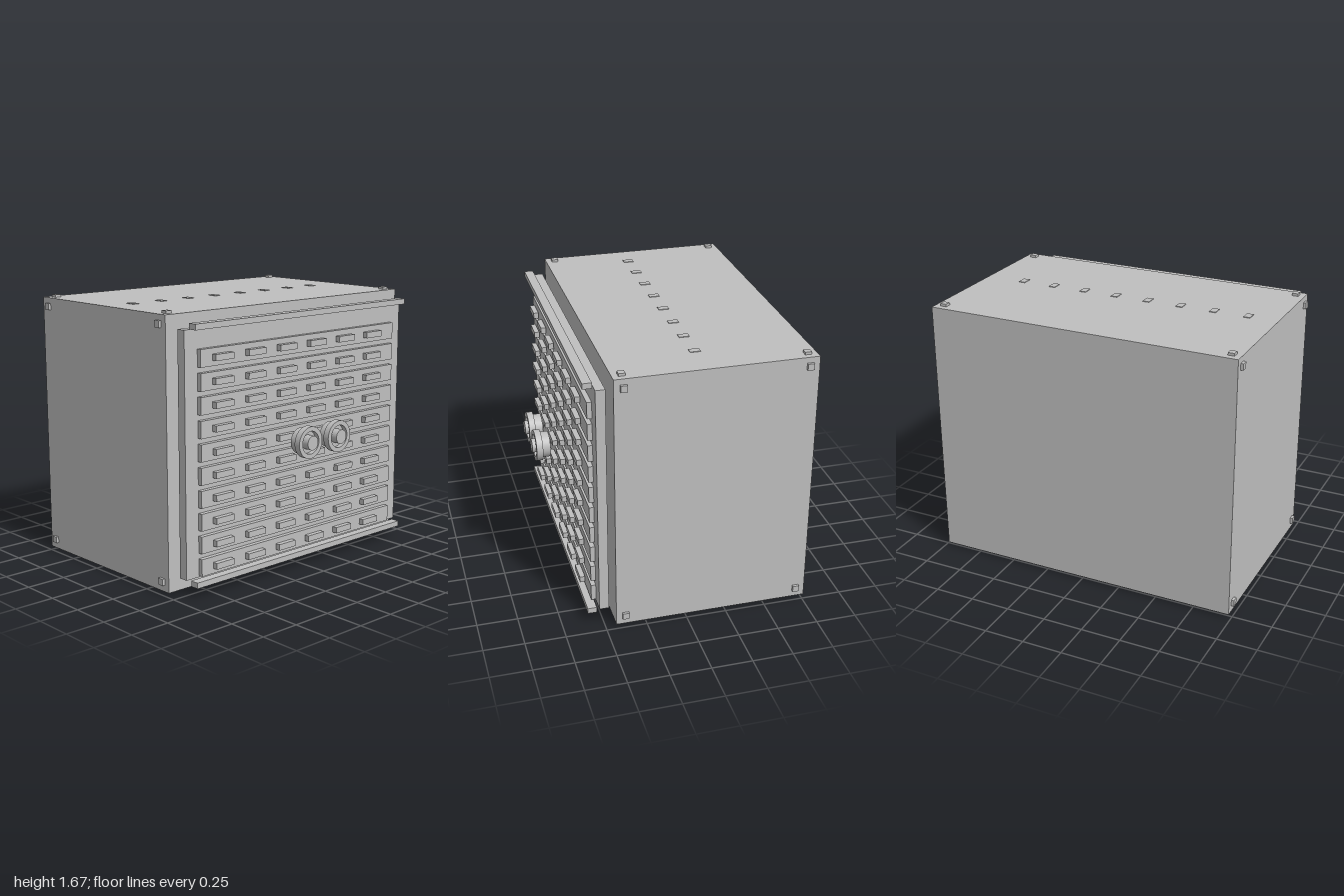
import * as THREE from 'three';

export function createModel() {
  const group = new THREE.Group();
  group.name = 'cabinet';
  const grey = new THREE.MeshStandardMaterial({ color: 0xbfbfbf });
  grey.name = 'light grey';

  // Box given by its lower and upper corner
  const box = (name, x0, x1, y0, y1, z0, z1) => {
    const mesh = new THREE.Mesh(new THREE.BoxGeometry(x1 - x0, y1 - y0, z1 - z0), grey);
    mesh.position.set((x0 + x1) / 2, (y0 + y1) / 2, (z0 + z1) / 2);
    mesh.name = name;
    group.add(mesh);
  };

  // Main case and floating front panel
  box('case', -0.983, 0.983, 0.018, 1.652, -0.765, 0.437);
  box('frontPanel', -0.922, 0.922, 0.104, 1.57, 0.468, 0.526);

  // Rails above and below the panel
  box('topRail', -0.896, 0.896, 1.573, 1.608, 0.537, 0.593);
  box('bottomRail', -0.896, 0.896, 0.066, 0.101, 0.537, 0.593);

  // Ten slats, each with six small handles
  for (let row = 0; row < 10; row++) {
    const y = 0.165 + row * 0.1375;
    box('slat', -0.827, 0.827, y - 0.052, y + 0.052, 0.526, 0.555);
    for (let col = 0; col < 6; col++) {
      const x = -0.674 + col * 0.2564;
      box('handle', x - 0.07, x + 0.07, y - 0.019, y + 0.019, 0.56, 0.592);
    }
  }

  // Small square studs at the corners of the top, bottom and sides
  const h = 0.02;
  for (const z of [0.38, -0.707]) {
    for (const x of [-0.926, 0.926]) {
      box('topStud', x - h, x + h, 1.652, 1.668, z - h, z + h);
      box('foot', x - h, x + h, 0, 0.018, z - h, z + h);
    }
    for (const y of [0.078, 1.597]) {
      box('rightStud', -1, -0.983, y - h, y + h, z - h, z + h);
      box('leftStud', 0.983, 1, y - h, y + h, z - h, z + h);
    }
  }

  // Row of thin pads on the top
  for (let i = 0; i < 8; i++) {
    const x = -0.793 + i * 0.2172;
    box('topPad', x - 0.021, x + 0.021, 1.652, 1.656, -0.132, -0.068);
  }

  // Two round knobs: base, raised rim and centre button
  const disc = (name, r, z0, z1, parent) => {
    const mesh = new THREE.Mesh(new THREE.CylinderGeometry(r, r, z1 - z0, 32), grey);
    mesh.rotation.x = Math.PI / 2;
    mesh.position.z = (z0 + z1) / 2;
    mesh.name = name;
    parent.add(mesh);
  };
  const rimShape = new THREE.Shape().absarc(0, 0, 0.098, 0, Math.PI * 2);
  rimShape.holes.push(new THREE.Path().absarc(0, 0, 0.07, 0, Math.PI * 2, true));
  const rimGeometry = new THREE.ExtrudeGeometry(rimShape, {
    depth: 0.04, bevelEnabled: false, curveSegments: 32,
  });
  for (const x of [-0.126, 0.123]) {
    const knob = new THREE.Group();
    knob.name = 'knob';
    knob.position.set(x, 0.838, 0);
    disc('knobBase', 0.08, 0.657, 0.715, knob);
    disc('knobButton', 0.044, 0.715, 0.765, knob);
    const rim = new THREE.Mesh(rimGeometry, grey);
    rim.position.z = 0.707;
    rim.name = 'knobRim';
    knob.add(rim);
    group.add(knob);
  }
  return group;
}
